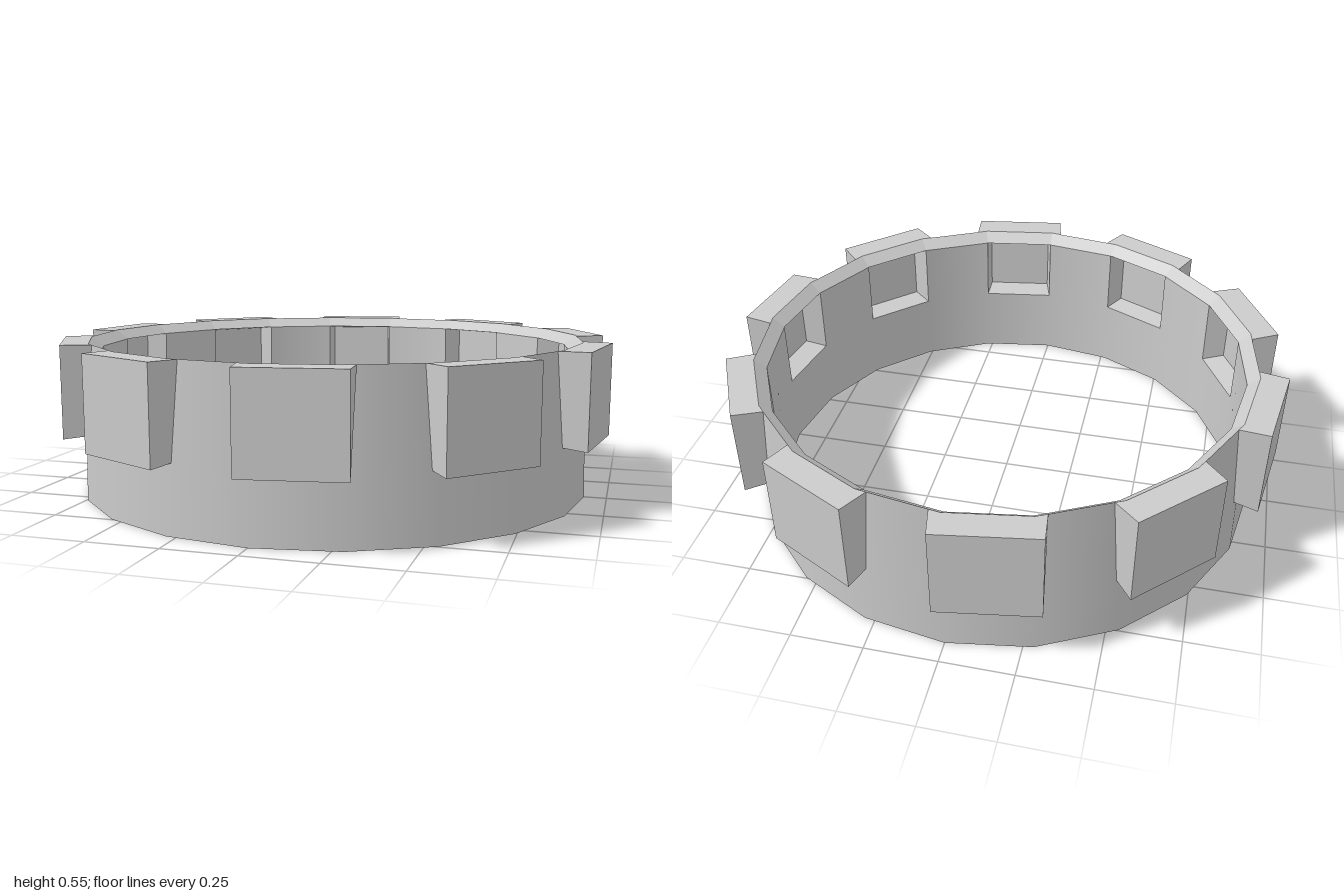
import * as THREE from 'three';

const SEG = 20;
const STEP = (Math.PI * 2) / SEG;

// Ring profile [radius, height]
const OUT_BASE = [0.922, 0], OUT_MID = [0.917, 0.225], OUT_TOP = [0.9, 0.55];
const IN_BASE = [0.862, 0], IN_MID = [0.86, 0.265], IN_TOP = [0.858, 0.515];

// Collects polygons (corners anticlockwise) into one geometry
function makeSurface() {
  const pos = [], nor = [];
  const add = (pts, normals) => {
    const flat = new THREE.Vector3();
    for (let i = 1; i < pts.length - 1; i++) {
      flat.add(pts[i].clone().sub(pts[0]).cross(pts[i + 1].clone().sub(pts[0])));
    }
    flat.normalize();
    for (let i = 1; i < pts.length - 1; i++) {
      for (const j of [0, i, i + 1]) {
        pos.push(...pts[j].toArray());
        nor.push(...(normals ? normals[j] : flat).toArray());
      }
    }
  };
  const build = () => {
    const g = new THREE.BufferGeometry();
    g.setAttribute('position', new THREE.Float32BufferAttribute(pos, 3));
    g.setAttribute('normal', new THREE.Float32BufferAttribute(nor, 3));
    return g;
  };
  return { add, build };
}

const polar = (a, [r, y]) => new THREE.Vector3(r * Math.sin(a), y, r * Math.cos(a));

// One strip of the ring between two profile points; smooth = +1 / -1 for outward / inward normals
function strip(surface, low, high, smooth, use = () => true) {
  for (let i = 0; i < SEG; i++) {
    if (!use(i)) continue;
    const a = i * STEP, b = a + STEP;
    const pts = [polar(a, low), polar(b, low), polar(b, high), polar(a, high)];
    const normals = smooth && [a, b, b, a].map((t) => polar(t, [smooth, 0]));
    if (smooth < 0) {
      pts.reverse();
      normals.reverse();
    }
    surface.add(pts, normals);
  }
}

// Hollow block: outer shell plus the recess open to the inside of the ring
function blockGeometry() {
  const s = makeSurface();
  const p = (t, y, n) => new THREE.Vector3(t, y, n);
  const W = 0.172, N = 0.984, LOW = 0.225, TOP = 0.55;
  const corner = ([r, y], side) => p(side * r * Math.sin(STEP / 2), y, r * Math.cos(STEP / 2));

  // Outer face
  s.add([p(-W, LOW, N), p(W, LOW, N), p(W, TOP, N), p(-W, TOP, N)]);
  // Top, meeting the two ring corners
  s.add([p(-W, TOP, N), p(W, TOP, N), p(0.177, TOP, 0.877),
    corner(OUT_TOP, 1), corner(OUT_TOP, -1), p(-0.177, TOP, 0.877)]);
  // Underside
  s.add([p(-0.163, 0.232, 0.898), p(0.163, 0.232, 0.898), p(W, LOW, N), p(-W, LOW, N)]);
  // Sides, wider at the top where the ring leans in
  const side = (k) => [p(k * W, LOW, N), p(k * 0.163, 0.232, 0.898),
    p(k * 0.177, TOP, 0.877), p(k * W, TOP, N)];
  s.add(side(1));
  s.add(side(-1).reverse());

  // Recess: mouth on the inner wall, back wall inside the block
  const B = 0.123, D = 0.934;
  const mouth = [corner(IN_MID, -1), corner(IN_MID, 1), corner(IN_TOP, 1), corner(IN_TOP, -1)];
  const back = [p(-B, 0.275, D), p(B, 0.275, D), p(B, 0.505, D), p(-B, 0.505, D)];
  s.add([...back].reverse());
  for (let i = 0; i < 4; i++) {
    const j = (i + 1) % 4;
    s.add([mouth[j], mouth[i], back[i], back[j]]);
  }
  return s.build();
}

export function createModel() {
  const model = new THREE.Group();
  model.name = 'notchedRing';
  const material = new THREE.MeshStandardMaterial({ color: 0xcccccc });
  const addMesh = (name, geometry) => {
    const mesh = new THREE.Mesh(geometry, material);
    mesh.name = name;
    model.add(mesh);
    return mesh;
  };

  // Every even segment carries a block, so its upper wall is open
  const plain = (i) => i % 2 === 1;

  const outer = makeSurface();
  strip(outer, OUT_BASE, OUT_MID, 1);
  strip(outer, OUT_MID, OUT_TOP, 1, plain);
  addMesh('outerWall', outer.build());

  const inner = makeSurface();
  strip(inner, IN_BASE, IN_MID, -1);
  strip(inner, IN_MID, IN_TOP, -1, plain);
  addMesh('innerWall', inner.build());

  // Sloping top rim and flat bottom rim
  const rims = makeSurface();
  strip(rims, OUT_TOP, IN_TOP, 0);
  strip(rims, IN_BASE, OUT_BASE, 0);
  addMesh('rims', rims.build());

  // Ten blocks around the ring
  const block = blockGeometry();
  for (let i = 0; i < SEG; i += 2) {
    addMesh('block' + (i / 2 + 1), block).rotation.y = (i + 0.5) * STEP;
  }
  return model;
}
